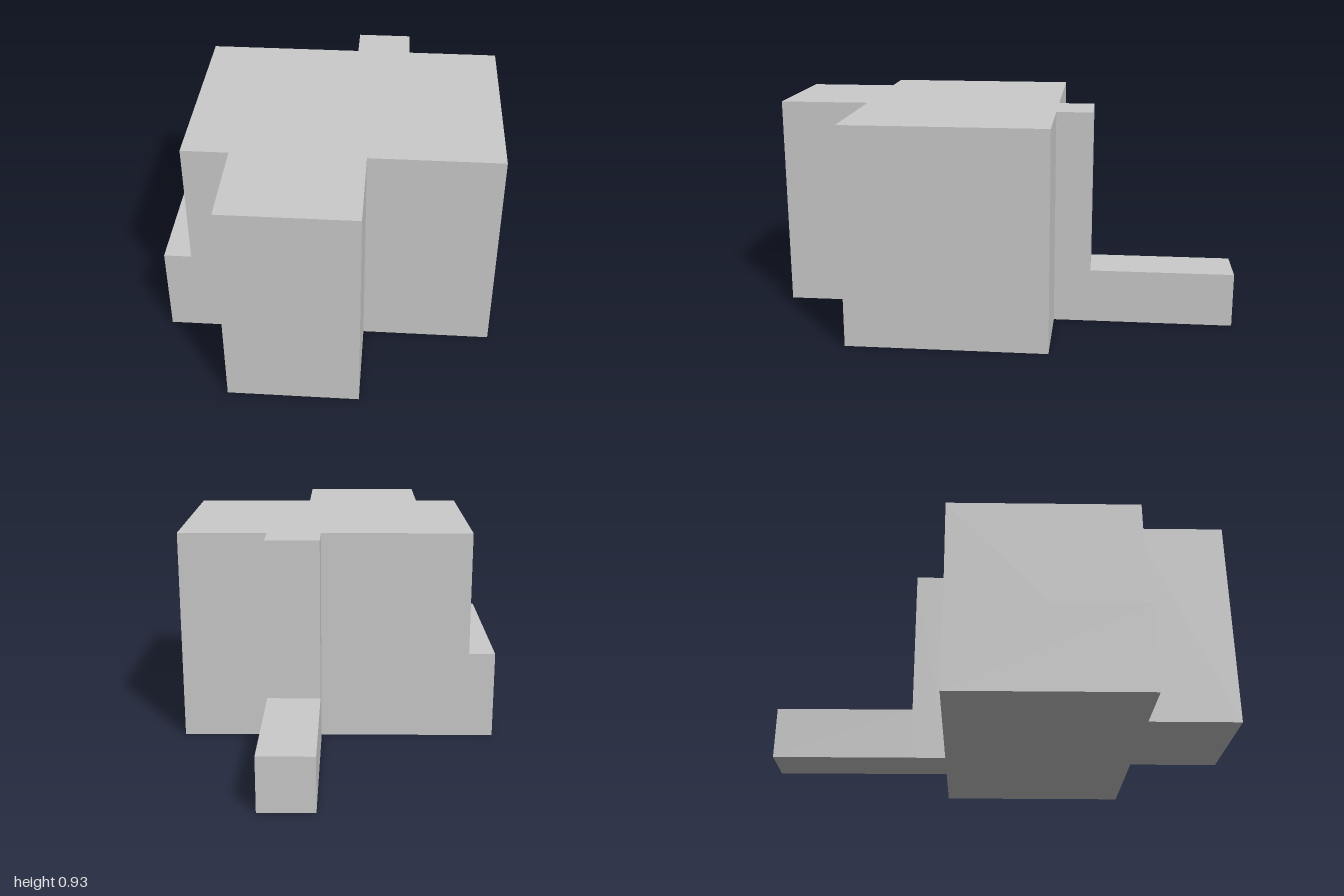
import * as THREE from 'three';

const HEIGHT = 0.925;

export function createModel() {
  const model = new THREE.Group();
  const material = new THREE.MeshStandardMaterial({ color: 0xcccccc, flatShading: true });

  const add = (name, geometry) => {
    const mesh = new THREE.Mesh(geometry, material);
    mesh.name = name;
    model.add(mesh);
  };

  // Box standing on the ground, given by its plan limits and height
  const addBlock = (name, x0, x1, z0, z1, h) => {
    const geometry = new THREE.BoxGeometry(x1 - x0, h, z1 - z0);
    geometry.translate((x0 + x1) / 2, h / 2, (z0 + z1) / 2);
    add(name, geometry);
  };

  // Full-height body: plan outline (x, z) with a front bay and a shallow back pier
  const plan = [
    [-0.577, 0.612], [-0.385, 0.612], [-0.385, 1], [0.152, 1], [0.152, 0.612], [0.69, 0.612],
    [0.69, -0.23], [0.305, -0.23], [0.305, -0.385], [0.075, -0.385], [0.075, -0.23], [-0.577, -0.23],
  ];
  const outline = new THREE.Shape(plan.map(([x, z]) => new THREE.Vector2(x, -z)));
  const body = new THREE.ExtrudeGeometry(outline, { depth: HEIGHT, bevelEnabled: false });
  body.rotateX(-Math.PI / 2);
  add('mainBody', body);

  // Low step along the right side
  addBlock('sideStep', -0.692, -0.577, -0.23, 0.612, 0.385);

  // Low wall running out from the back pier
  addBlock('backWall', 0.075, 0.305, -1, -0.385, 0.232);

  return model;
}
